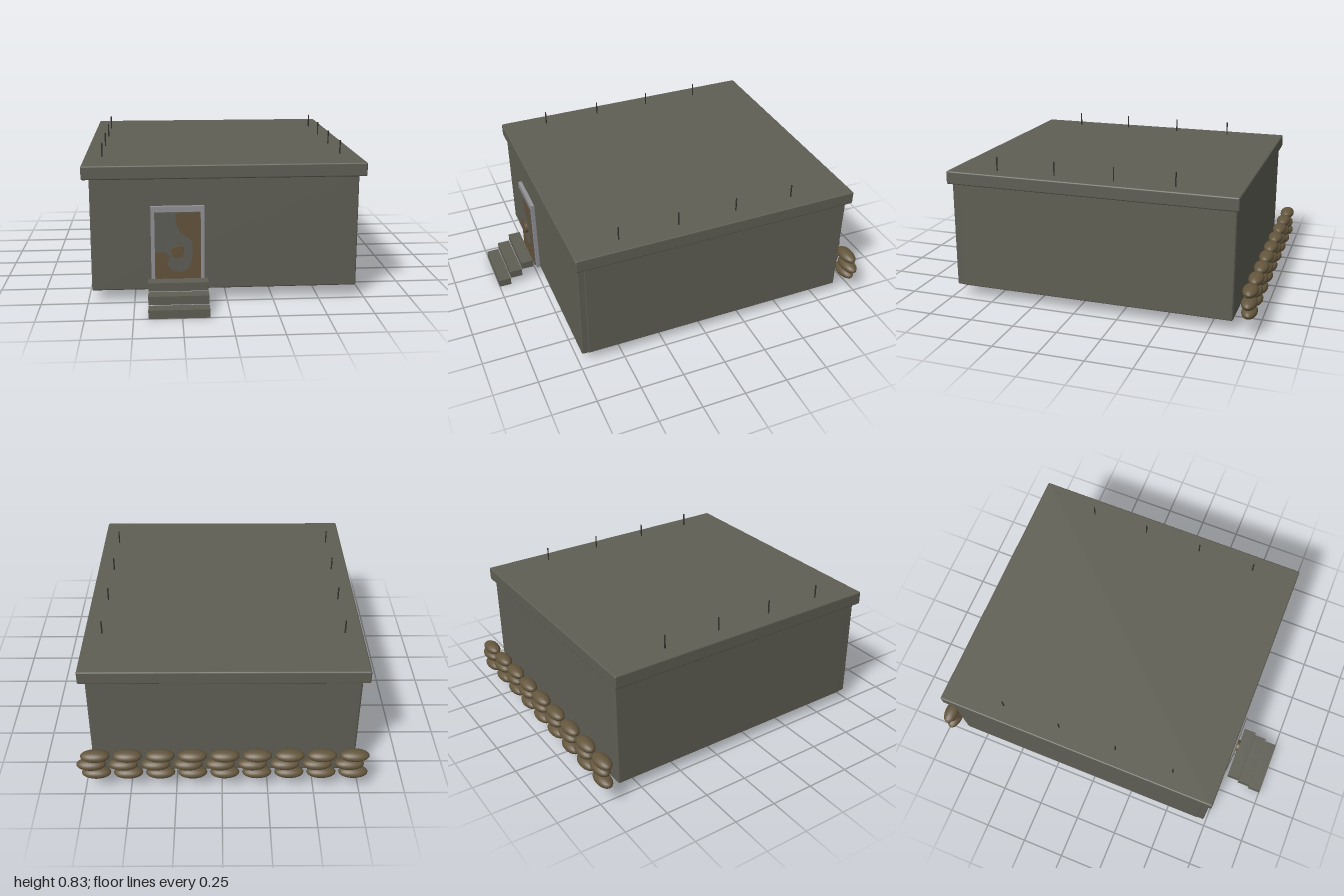
import * as THREE from 'three';
import { RoundedBoxGeometry } from 'three/addons/geometries/RoundedBoxGeometry.js';

const material = (name, color, extra = {}) => {
  const m = new THREE.MeshStandardMaterial({ color, ...extra });
  m.name = name;
  return m;
};

export function createModel() {
  const model = new THREE.Group();
  model.name = 'bunker';

  const concrete = material('concrete', 0x5f5e54);
  const doorSteel = material('doorSteel', 0x5e5d56);
  const frameSteel = material('frameSteel', 0x929297);
  const rust = material('rust', 0x63523a);
  const sandbagCloth = material('sandbagCloth', 0x64563d);
  const darkIron = material('darkIron', 0x33322e);

  const add = (name, geometry, mat, parent = model) => {
    const mesh = new THREE.Mesh(geometry, mat);
    mesh.name = name;
    parent.add(mesh);
    return mesh;
  };

  const group = (name) => {
    const g = new THREE.Group();
    g.name = name;
    model.add(g);
    return g;
  };

  // Box given by its limits, with an optional rounded edge
  const box = (name, [x0, x1], [y0, y1], [z0, z1], mat, parent, radius = 0) => {
    const size = [x1 - x0, y1 - y0, z1 - z0];
    const geometry = radius
      ? new RoundedBoxGeometry(...size, 2, radius)
      : new THREE.BoxGeometry(...size);
    const mesh = add(name, geometry, mat, parent);
    mesh.position.set((x0 + x1) / 2, (y0 + y1) / 2, (z0 + z1) / 2);
    return mesh;
  };

  // Thick walls, open underneath
  const walls = group('walls');
  const height = [0.065, 0.685];
  const t = 0.115;
  box('frontWall', [-0.727, 0.707], height, [0.733 - t, 0.733], concrete, walls, 0.008);
  box('backWall', [-0.727, 0.707], height, [-0.877, -0.877 + t], concrete, walls, 0.008);
  box('rightWall', [-0.73, -0.73 + t], height, [-0.874, 0.695], concrete, walls, 0.006);
  box('leftWall', [0.71 - t, 0.71], height, [-0.874, 0.695], concrete, walls, 0.006);

  // Overhanging roof slab
  box('roof', [-0.767, 0.747], [0.675, 0.75], [-0.893, 0.747], concrete, model, 0.008);

  // Iron rods standing on the roof
  const rods = group('roofRods');
  for (const x of [-0.67, 0.65]) {
    for (const z of [0.48, 0.14, -0.2, -0.54]) {
      const rod = add('rod', new THREE.CylinderGeometry(0.004, 0.004, 0.087, 8), darkIron, rods);
      rod.position.set(x, 0.784, z);
    }
  }

  // Pipe under the ceiling
  const pipe = add('ceilingPipe', new THREE.CylinderGeometry(0.015, 0.015, 1.39, 12), frameSteel);
  pipe.rotation.x = Math.PI / 2;
  pipe.position.set(-0.48, 0.62, -0.075);

  // Door with its frame
  const door = group('door');
  const frameDepth = [0.725, 0.755];
  box('frameRight', [-0.408, -0.388], [0.065, 0.53], frameDepth, frameSteel, door);
  box('frameLeft', [-0.143, -0.123], [0.065, 0.53], frameDepth, frameSteel, door);
  box('frameTop', [-0.388, -0.143], [0.5, 0.53], frameDepth, frameSteel, door);
  box('doorPanel', [-0.388, -0.143], [0.07, 0.5], [0.73, 0.761], doorSteel, door);

  // Rust stain: straight along the door edge, wavy on the inner side
  const stain = new THREE.Shape();
  stain.moveTo(-0.276, 0.499);
  stain.lineTo(-0.144, 0.499);
  stain.lineTo(-0.144, 0.071);
  stain.lineTo(-0.387, 0.071);
  stain.lineTo(-0.387, 0.28);
  stain.splineThru([
    [-0.34, 0.28], [-0.312, 0.258], [-0.322, 0.215], [-0.29, 0.177],
    [-0.235, 0.176], [-0.2, 0.21], [-0.188, 0.28], [-0.193, 0.345],
    [-0.245, 0.385], [-0.273, 0.44], [-0.276, 0.499],
  ].map(([x, y]) => new THREE.Vector2(x, y)));
  add('rustStain', new THREE.ShapeGeometry(stain, 4), rust, door).position.z = 0.763;

  // Round lock plate
  const lock = add('lockPlate', new THREE.CylinderGeometry(0.034, 0.034, 0.018, 24), rust, door);
  lock.rotation.x = Math.PI / 2;
  lock.position.set(-0.266, 0.285, 0.769);

  // Entrance steps, lowest first
  const steps = group('steps');
  for (let i = 0; i < 3; i++) {
    const y = i * 0.0475;
    const z = 1 - i * 0.0745;
    box('step', [-0.425, -0.107], [y, y + 0.0455], [z - 0.072, z], concrete, steps);
  }

  // Three rows of sandbags behind the back wall
  const sandbags = group('sandbags');
  const bagGeometry = new THREE.SphereGeometry(1, 20, 14).scale(0.08, 0.031, 0.042);
  [0.123, 0.182, 0.24].forEach((y, row) => {
    for (let i = 0; i < 9; i++) {
      const bag = add('sandbag', bagGeometry, sandbagCloth, sandbags);
      bag.position.set(-0.711 + i * 0.1742 + (row === 1 ? 0.025 : 0), y, -0.958);
    }
  });

  return model;
}
